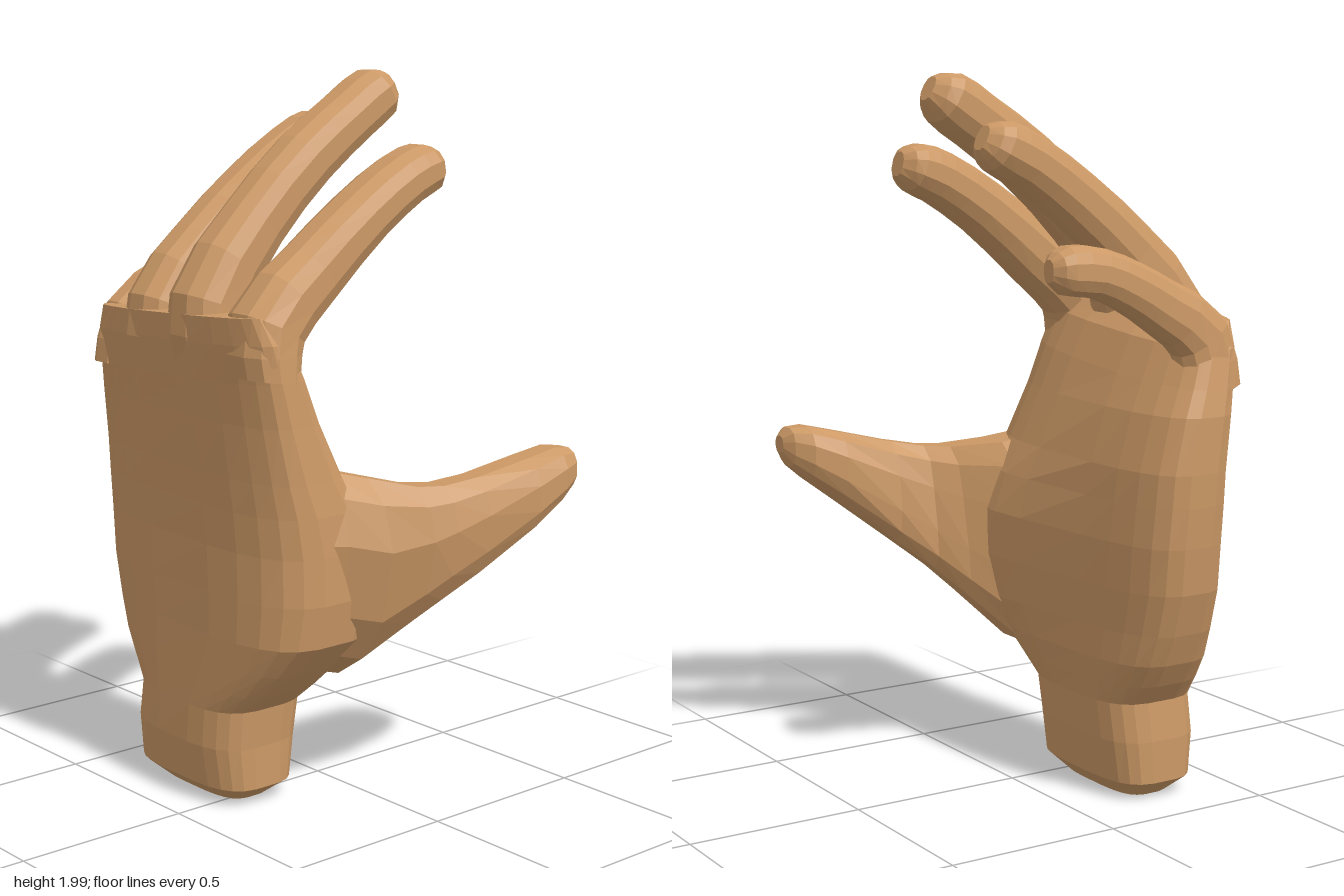
import * as THREE from 'three';

const skin = new THREE.MeshStandardMaterial({ color: 0xcc9966, flatShading: true });

// Skins a list of closed rings (arrays of Vector3) and caps both ends.
function loft(name, rings) {
  const n = rings[0].length, pos = [], idx = [];
  for (const ring of rings) for (const p of ring) pos.push(p.x, p.y, p.z);
  for (let i = 0; i < rings.length - 1; i++) {
    for (let j = 0; j < n; j++) {
      const k = (j + 1) % n, a = i * n, b = a + n;
      idx.push(a + j, a + k, b + k, a + j, b + k, b + j);
    }
  }
  [0, rings.length - 1].forEach((r, end) => {
    const c = new THREE.Vector3();
    rings[r].forEach(p => c.addScaledVector(p, 1 / n));
    const ci = pos.length / 3;
    pos.push(c.x, c.y, c.z);
    for (let j = 0; j < n; j++) {
      const a = r * n + j, b = r * n + (j + 1) % n;
      if (end) idx.push(ci, a, b); else idx.push(ci, b, a);
    }
  });
  const geo = new THREE.BufferGeometry();
  geo.setAttribute('position', new THREE.Float32BufferAttribute(pos, 3));
  geo.setIndex(idx);
  geo.computeVertexNormals();
  const mesh = new THREE.Mesh(geo, skin);
  mesh.name = name;
  return mesh;
}

// Rounded-square outline: calls at(u, v) with u, v in -1..1 around the loop.
function outline(n, power, at) {
  const round = t => Math.sign(t) * Math.pow(Math.abs(t), power);
  return Array.from({ length: n }, (_, j) => {
    const a = ((j + 0.5) / n) * Math.PI * 2;
    return at(round(Math.cos(a)), round(Math.sin(a)));
  });
}

const mix = THREE.MathUtils.lerp;

function createPalm() {
  // y, z at little-finger side, z at thumb side, back x, front x at each side
  const rows = [
    [0.00, -0.32, 0.03, -0.34, -0.18, -0.18],
    [0.05, -0.38, 0.10, -0.40, -0.13, -0.13],
    [0.17, -0.38, 0.10, -0.42, -0.11, -0.11],
    [0.28, -0.37, 0.11, -0.42, -0.10, -0.10],
    [0.34, -0.42, 0.18, -0.42, -0.09, -0.08],
    [0.41, -0.47, 0.25, -0.42, -0.08, -0.05],
    [0.50, -0.51, 0.33, -0.42, -0.08, -0.01],
    [0.62, -0.55, 0.35, -0.42, -0.075, 0.01],
    [0.75, -0.57, 0.35, -0.42, -0.07, 0.00],
    [0.86, -0.58, 0.345, -0.425, -0.075, -0.05],
    [0.95, -0.585, 0.335, -0.43, -0.08, -0.12],
    [1.10, -0.585, 0.32, -0.44, -0.12, -0.20],
    [1.22, -0.57, 0.31, -0.45, -0.16, -0.25],
    [1.32, -0.55, 0.30, -0.46, -0.21, -0.30],
    [1.39, -0.50, 0.27, -0.46, -0.30, -0.35],
  ];
  return loft('palm', rows.map(([y, z0, z1, back, frontLittle, frontIndex]) =>
    outline(24, 0.6, (u, v) => {
      const s = (u + 1) / 2;
      const b = back + (1 - s) ** 2 * 0.06 * Math.min(1, y);
      const x = mix(b, mix(frontLittle, frontIndex, s * s), (v + 1) / 2);
      const drop = y > 1.2 ? (1 - s) * 0.05 : 0;
      return new THREE.Vector3(x, y - drop, mix(z0, z1, s));
    })));
}

function createThumb() {
  // x, low y, high y, inner z, outer z, inward lean of the lower half
  const rows = [
    [-0.34, 0.55, 0.90, 0.10, 0.30, 0.10],
    [-0.20, 0.38, 0.97, 0.05, 0.37, 0.12],
    [-0.10, 0.36, 0.945, 0.10, 0.43, 0.12],
    [0.00, 0.485, 0.92, 0.26, 0.485, 0.09],
    [0.06, 0.555, 0.92, 0.325, 0.51, 0.06],
    [0.15, 0.635, 0.935, 0.365, 0.54, 0.03],
    [0.30, 0.76, 0.97, 0.40, 0.58, 0],
    [0.39, 0.83, 0.99, 0.43, 0.59, 0],
    [0.435, 0.87, 0.985, 0.47, 0.58, 0],
    [0.455, 0.91, 0.96, 0.51, 0.56, 0],
  ];
  return loft('thumb', rows.map(([x, y0, y1, z0, z1, lean]) =>
    outline(12, 0.8, (u, v) => new THREE.Vector3(x, mix(y0, y1, (u + 1) / 2),
      mix(z0, z1, (v + 1) / 2) + lean * Math.min(u, 0)))));
}

// Finger bending in the x-y plane; path points are x, y, half thickness.
// It widens at the knuckle and narrows at the tip.
function createFinger(name, z, halfWidth, path) {
  const curve = new THREE.CatmullRomCurve3(path.map(p => new THREE.Vector3(...p)));
  const steps = 12, rings = [];
  for (let i = 0; i <= steps; i++) {
    const t = i / steps, p = curve.getPoint(t), d = curve.getTangent(t);
    const len = Math.hypot(d.x, d.y), nx = -d.y / len, ny = d.x / len;
    const tip = i === steps ? 0.35 : i === steps - 1 ? 0.8 : 1;
    const w = halfWidth * tip * (1 + 0.3 * Math.max(0, 1 - t / 0.35));
    rings.push(outline(12, 0.85, (u, v) =>
      new THREE.Vector3(p.x + nx * u * p.z, p.y + ny * u * p.z, z + v * w)));
  }
  return loft(name, rings);
}

export function createModel() {
  const hand = new THREE.Group();
  hand.name = 'hand';
  hand.add(createPalm(), createThumb());
  hand.add(
    createFinger('indexFinger', 0.2, 0.087, [
      [-0.36, 1.22, 0.08], [-0.345, 1.35, 0.10], [-0.2, 1.48, 0.092], [-0.02, 1.62, 0.08],
      [0.12, 1.705, 0.075], [0.2, 1.735, 0.068], [0.245, 1.745, 0.035]]),
    createFinger('middleFinger', -0.035, 0.085, [
      [-0.365, 1.24, 0.08], [-0.355, 1.39, 0.10], [-0.2, 1.59, 0.09], [-0.02, 1.755, 0.085],
      [0.14, 1.865, 0.08], [0.235, 1.925, 0.075], [0.285, 1.95, 0.035]]),
    createFinger('ringFinger', -0.262, 0.083, [
      [-0.35, 1.2, 0.08], [-0.335, 1.36, 0.095], [-0.2, 1.515, 0.087], [-0.02, 1.665, 0.08],
      [0.12, 1.76, 0.075], [0.215, 1.805, 0.07], [0.26, 1.825, 0.035]]),
    createFinger('littleFinger', -0.475, 0.065, [
      [-0.31, 1.16, 0.09], [-0.28, 1.3, 0.088], [-0.15, 1.39, 0.075], [-0.05, 1.445, 0.069],
      [0.05, 1.485, 0.066], [0.15, 1.495, 0.064], [0.195, 1.495, 0.03]]));
  return hand;
}
